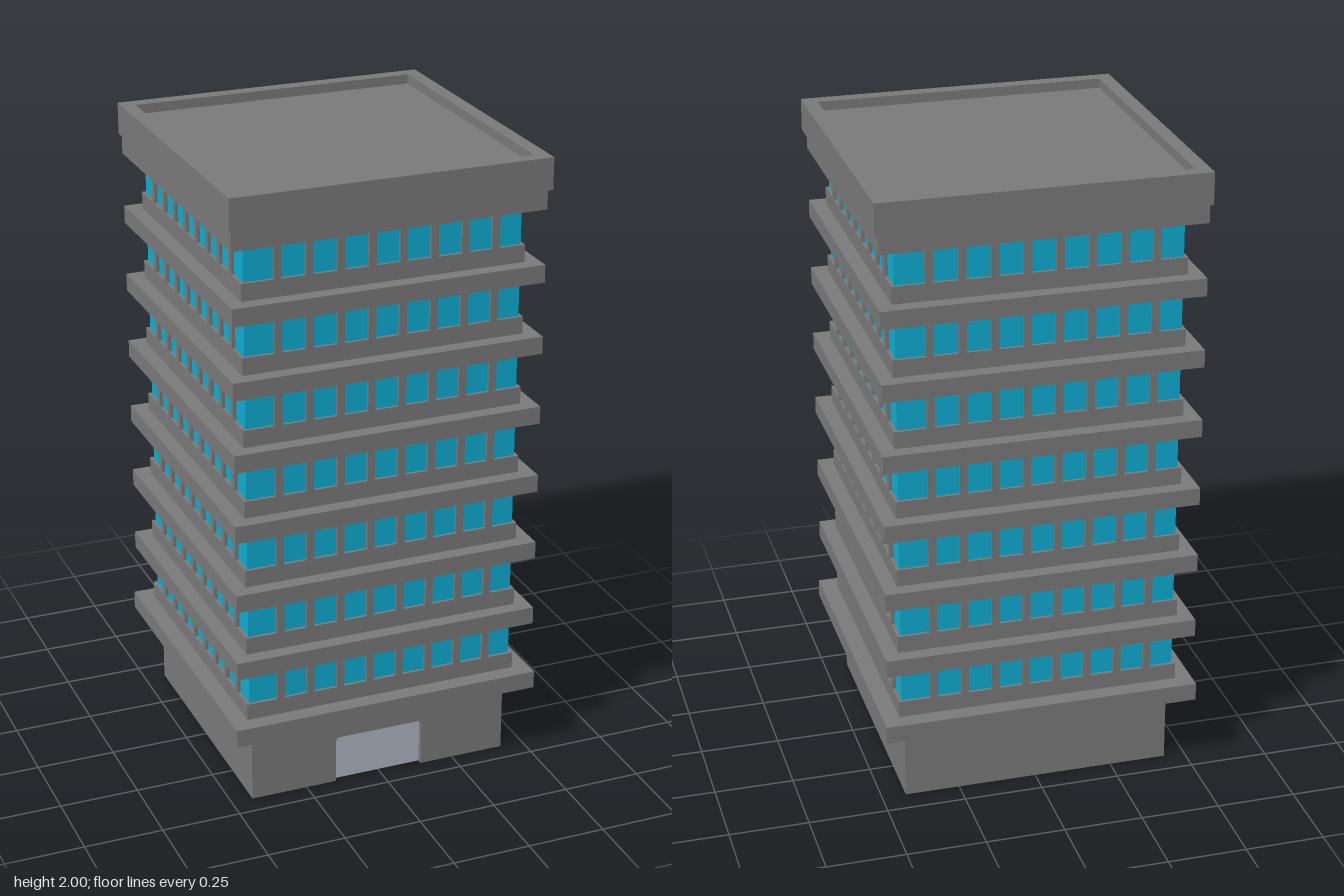
import * as THREE from 'three';

export function createModel() {
  const model = new THREE.Group();
  model.name = 'officeTower';
  const concrete = new THREE.MeshStandardMaterial({ color: 0x7a7a7a });
  concrete.name = 'concrete grey';
  const glass = new THREE.MeshStandardMaterial({ color: 0x0faed3 });
  glass.name = 'window blue';
  const doorPaint = new THREE.MeshStandardMaterial({ color: 0xb0b6c4 });
  doorPaint.name = 'door pale grey';

  const add = (parent, name, geometry, material, x = 0, y = 0, z = 0) => {
    const mesh = new THREE.Mesh(geometry, material);
    mesh.name = name;
    mesh.position.set(x, y, z);
    parent.add(mesh);
    return mesh;
  };
  // Square block given by its half width and its bottom and top heights
  const block = (parent, name, half, y0, y1, material = concrete) =>
    add(parent, name, new THREE.BoxGeometry(half * 2, y1 - y0, half * 2), material, 0, (y0 + y1) / 2, 0);

  // The shaft sits slightly off the centre of the parapet
  const shaft = new THREE.Group();
  shaft.name = 'shaft';
  shaft.position.set(-0.004, 0, 0.004);
  model.add(shaft);

  // Ground floor with a recessed doorway in the front wall
  const baseHalf = 0.428, baseTop = 0.24, recess = 0.02;
  add(shaft, 'groundFloor', new THREE.BoxGeometry(baseHalf * 2, baseTop, baseHalf * 2 - recess),
    concrete, 0, baseTop / 2, -recess / 2);
  const dw = 0.146, dh = 0.156, r = 0.015;
  const wall = new THREE.Shape();
  wall.moveTo(-baseHalf, 0);
  wall.lineTo(-dw, 0);
  wall.lineTo(-dw, dh - r);
  wall.quadraticCurveTo(-dw, dh, -dw + r, dh);
  wall.lineTo(dw - r, dh);
  wall.quadraticCurveTo(dw, dh, dw, dh - r);
  wall.lineTo(dw, 0);
  wall.lineTo(baseHalf, 0);
  wall.lineTo(baseHalf, baseTop);
  wall.lineTo(-baseHalf, baseTop);
  add(shaft, 'frontWall', new THREE.ExtrudeGeometry(wall, { depth: recess, bevelEnabled: false, curveSegments: 4 }),
    concrete, 0, 0, baseHalf - recess);
  add(shaft, 'door', new THREE.BoxGeometry(dw * 2, dh, 0.004), doorPaint, 0, dh / 2, baseHalf - recess + 0.001);

  // Canopy slab above the ground floor
  block(shaft, 'canopySlab', 0.502, baseTop, 0.297);

  // Seven storeys: sill, glass band with piers, header, ledge
  const floors = 7, pitch = 0.2286, wallHalf = 0.449, glassHalf = 0.439;
  const pierGeometry = new THREE.BoxGeometry(0.024, 0.103, 0.02);
  for (let i = 0; i < floors; i++) {
    const storey = new THREE.Group();
    storey.name = `storey${i + 1}`;
    storey.position.y = i * pitch;
    shaft.add(storey);
    block(storey, 'sill', wallHalf, 0.295, 0.35);
    block(storey, 'windowBand', glassHalf, 0.35, 0.453, glass);
    block(storey, 'header', wallHalf, 0.453, 0.468);
    block(storey, 'ledge', 0.495, 0.468, i === floors - 1 ? 0.53 : 0.524);
    for (let side = 0; side < 4; side++) {
      const piers = new THREE.Group();
      piers.name = 'piers';
      piers.rotation.y = side * Math.PI / 2;
      storey.add(piers);
      for (let k = 0; k < 8; k++) {
        add(piers, 'pier', pierGeometry, concrete, -0.337 + k * 0.0986, 0.4015, wallHalf - 0.01);
      }
    }
  }

  // Parapet ring around a sunken roof
  const square = (path, h) => {
    path.moveTo(-h, -h);
    path.lineTo(h, -h);
    path.lineTo(h, h);
    path.lineTo(-h, h);
    path.closePath();
    return path;
  };
  const ring = square(new THREE.Shape(), 0.505);
  ring.holes.push(square(new THREE.Path(), 0.46));
  const parapet = new THREE.ExtrudeGeometry(ring, { depth: 0.1, bevelEnabled: false });
  parapet.rotateX(-Math.PI / 2);
  add(model, 'parapet', parapet, concrete, 0, 1.9, 0);
  block(model, 'roof', 0.46, 1.9, 1.97);

  return model;
}
